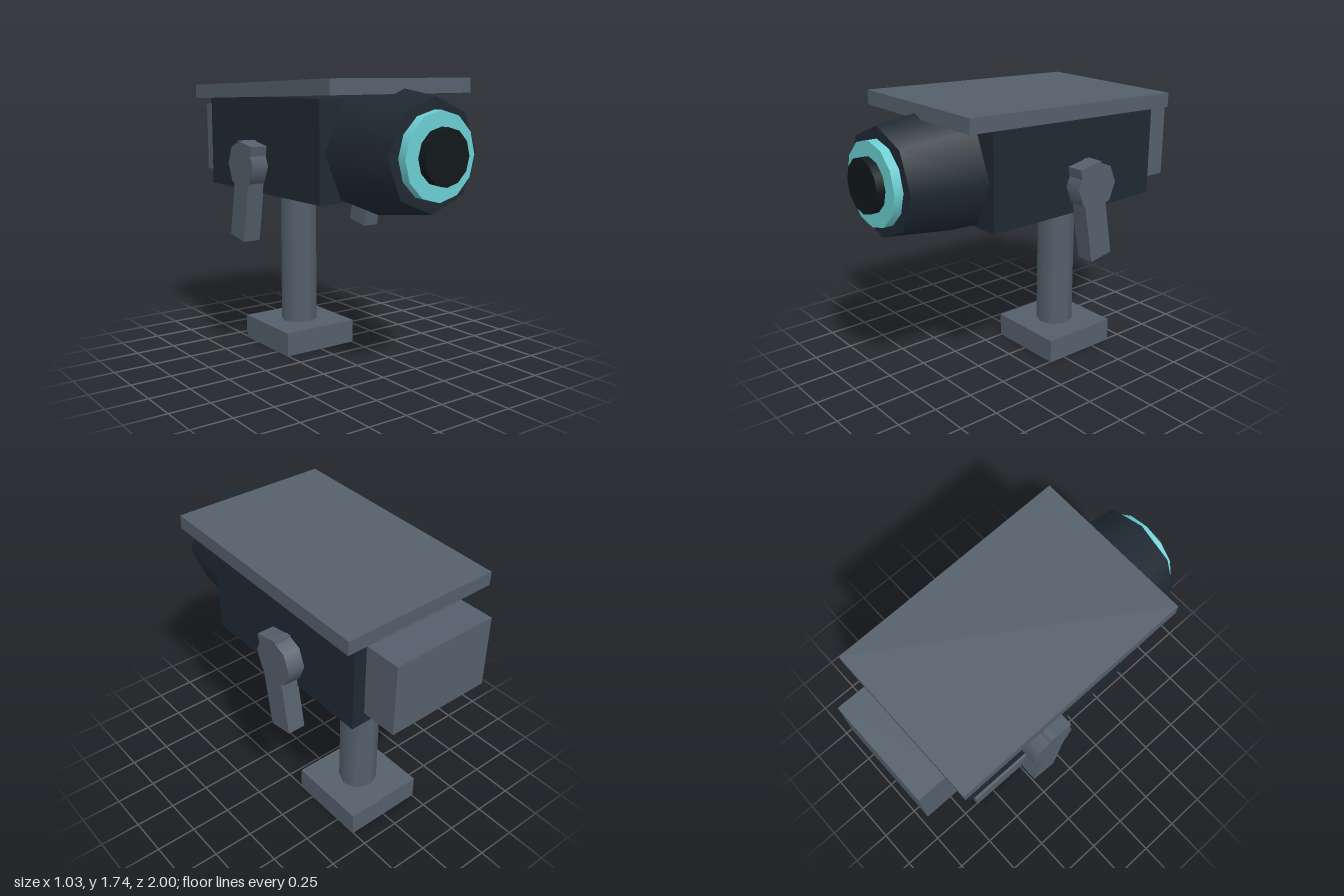
import * as THREE from 'three';

const paint = (color) => new THREE.MeshStandardMaterial({ color });

export function createModel() {
  const model = new THREE.Group();
  const grey = paint(0x55606c);
  const dark = paint(0x1f2932);
  const cyan = paint(0x6ccfd4);
  const black = paint(0x11191b);

  const add = (name, geometry, material, x, y, z, parent = model) => {
    const mesh = new THREE.Mesh(geometry, material);
    mesh.name = name;
    mesh.position.set(x, y, z);
    parent.add(mesh);
    return mesh;
  };
  const box = (w, h, d) => new THREE.BoxGeometry(w, h, d);

  // Stand: square foot and eight-sided pole
  add('base', box(0.51, 0.15, 0.51), grey, 0, 0.075, -0.39);
  add('pole', new THREE.CylinderGeometry(0.1175, 0.1175, 0.92, 8), grey, 0, 0.6, -0.39);

  // Housing with rear box and tilted sun shield
  add('housing', box(0.82, 0.575, 1.22), dark, 0, 1.3375, -0.17);
  add('rearBox', box(0.66, 0.435, 0.22), grey, 0, 1.3375, -0.89);
  const roof = add('sunShield', box(0.99, 0.085, 1.485), grey, 0, 1.668, -0.088);
  roof.rotation.x = -0.034;

  // Lens parts along the z axis: tapering hood, bright ring, dark glass
  const barrel = (name, rFront, rBack, zFront, zBack, sides, material) => {
    const geometry = new THREE.CylinderGeometry(rFront, rBack, zFront - zBack, sides);
    geometry.rotateX(Math.PI / 2);
    add(name, geometry, material, 0, 1.335, (zFront + zBack) / 2);
  };
  barrel('lensHood', 0.312, 0.375, 0.895, 0.44, 8, dark);
  barrel('lensRing', 0.242, 0.242, 0.95, 0.88, 12, cyan);
  barrel('lensGlass', 0.156, 0.156, 1.0, 0.94, 12, black);

  // Side levers: eight-sided pivot with a slanted arm, mirrored
  const pivotGeometry = new THREE.CylinderGeometry(0.145, 0.145, 0.11, 8).rotateZ(Math.PI / 2);
  for (const [side, label] of [[1, 'left'], [-1, 'right']]) {
    const lever = new THREE.Group();
    lever.name = label + 'Lever';
    lever.position.set(side * 0.46, 1.22, -0.235);
    model.add(lever);
    add(label + 'LeverPivot', pivotGeometry, grey, 0, 0, 0, lever);
    const arm = add(label + 'LeverArm', box(0.11, 0.59, 0.16), grey, 0, -0.16, 0, lever);
    arm.rotation.x = 0.18;
  }

  return model;
}
